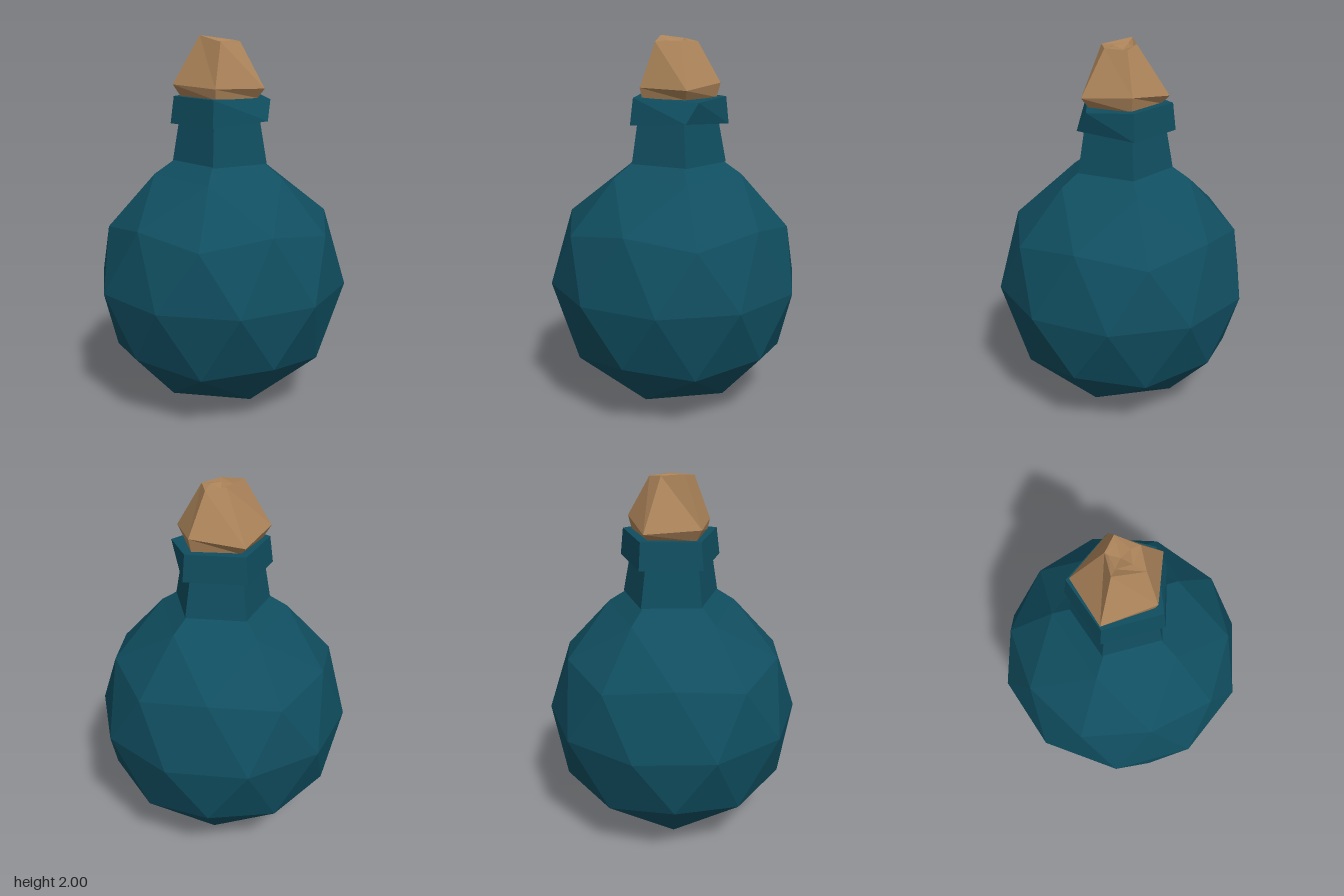
import * as THREE from 'three';

// Five-sided ring in the ground plane, first corner towards +x
function ring(y, r, dx = 0) {
  return Array.from({ length: 5 }, (_, i) => {
    const a = (i * Math.PI * 2) / 5;
    return [Math.cos(a) * r + dx, y, Math.sin(a) * r];
  });
}

// Faceted skin through rings listed from bottom to top, closed by a fan at topCentre
function loft(rings, topCentre, bottomCentre) {
  const pos = [];
  const tri = (...pts) => pts.forEach((p) => pos.push(...p));
  const n = rings[0].length;
  const last = rings[rings.length - 1];
  for (let i = 0; i < n; i++) {
    const j = (i + 1) % n;
    for (let k = 0; k < rings.length - 1; k++) {
      const a = rings[k], b = rings[k + 1];
      tri(a[i], b[i], b[j]);
      tri(a[i], b[j], a[j]);
    }
    tri(topCentre, last[j], last[i]);
    if (bottomCentre) tri(bottomCentre, rings[0][i], rings[0][j]);
  }
  const g = new THREE.BufferGeometry();
  g.setAttribute('position', new THREE.Float32BufferAttribute(pos, 3));
  g.computeVertexNormals();
  return g;
}

export function createModel() {
  const glass = new THREE.MeshStandardMaterial({ color: 0x104e60, flatShading: true });
  glass.name = 'teal glass';
  const wood = new THREE.MeshStandardMaterial({ color: 0xab8359, flatShading: true });
  wood.name = 'cork brown';

  const model = new THREE.Group();
  model.name = 'potionBottle';
  const add = (name, geometry, material) => {
    const mesh = new THREE.Mesh(geometry, material);
    mesh.name = name;
    model.add(mesh);
  };

  // Round body: icosphere standing on one corner, upper half slightly stretched
  const R = 0.68;
  const body = new THREE.IcosahedronGeometry(R, 1);
  body.rotateX(-Math.atan2((1 + Math.sqrt(5)) / 2, 1));
  body.rotateY(Math.PI / 2);
  const p = body.attributes.position;
  for (let i = 0; i < p.count; i++) {
    const y = p.getY(i);
    let h = R + y;
    if (y > -0.1) h += 0.01 + Math.max(y, 0) * 0.02;
    if (y > R * 0.99) h = 1.53; // shoulder rises into the neck
    p.setY(i, h);
  }
  body.computeVertexNormals();
  add('body', body, glass);

  // Neck, tapering upwards
  add('neck', loft([ring(1.345, 0.265, 0.008), ring(1.57, 0.225, 0.005)], [0, 1.57, 0]), glass);

  // Flared collar with one dented corner at the front
  const under = ring(1.565, 0.22, 0.005);
  const low = ring(1.548, 0.275, 0.01);
  const high = ring(1.69, 0.258, 0.012);
  low[1] = [0.09, 1.57, 0.255];
  high[1] = [0.15, 1.675, 0.215];
  add('collar', loft([under, low, high], [0, 1.685, 0]), glass);

  // Stopper: hand-cut cork with a crumpled top
  const foot = [[0.22, 1.685, 0], [0.08, 1.685, 0.19], [-0.155, 1.685, 0.12], [-0.165, 1.685, -0.13], [0.07, 1.685, -0.19]];
  const belly = [[0.24, 1.76, 0], [0.09, 1.735, 0.23], [-0.165, 1.74, 0.13], [-0.2, 1.75, -0.155], [0.08, 1.725, -0.23]];
  const crown = [[0.12, 1.97, 0], [0.04, 1.97, 0.1], [-0.09, 1.97, 0.09], [-0.085, 2.0, -0.07], [0.04, 1.985, -0.065]];
  const lip = [[0.08, 1.965, 0], [0.03, 1.975, 0.05], [-0.04, 1.97, 0.04], [-0.045, 1.975, -0.04], [0.03, 1.97, -0.05]];
  add('stopper', loft([foot, belly, crown, lip], [0.01, 1.955, 0], [0, 1.685, 0]), wood);

  return model;
}
